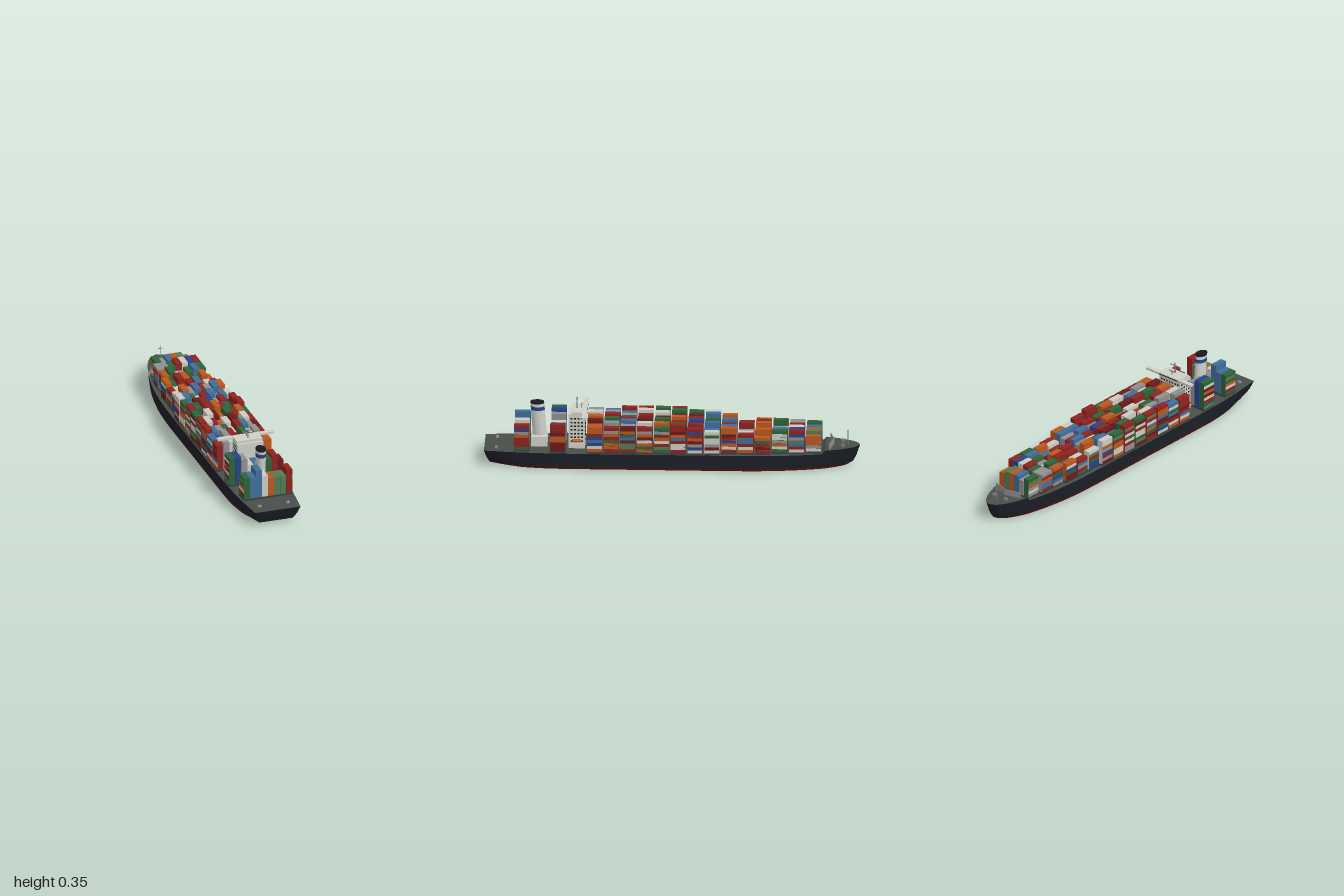
import * as THREE from 'three';

const COLORS = {
  R: 0x8e2320, D: 0x6a1a1a, O: 0xb9581f, B: 0x3f6d99, N: 0x26438a,
  G: 0x2d6239, L: 0x527a52, W: 0xcbcbc2, S: 0x8f8f8f,
  hull: 0x1b1e26, bottom: 0x5c1613, deck: 0x4a4e4a, hatch: 0x3c403e,
  white: 0xcfcfc8, dark: 0x17191c, metal: 0x77797a,
};
const materials = {};
const mat = (c) => (materials[c] ??= new THREE.MeshStandardMaterial({ color: COLORS[c] }));
const unitBox = new THREE.BoxGeometry(1, 1, 1);

function add(parent, name, geometry, color, x = 0, y = 0, z = 0) {
  const m = new THREE.Mesh(geometry, mat(color));
  m.name = name;
  m.position.set(x, y, z);
  parent.add(m);
  return m;
}
// box given by its centre in x and z, and its bottom and top in y
function box(parent, name, color, x, z, y0, y1, w, d) {
  const m = add(parent, name, unitBox, color, x, (y0 + y1) / 2, z);
  m.scale.set(w, y1 - y0, d);
  return m;
}
function seeded(seed) {
  let s = seed;
  return () => (s = (s * 16807) % 2147483647) / 2147483647;
}
// flat-shaded strips between pairs of polylines
function loft(pairs) {
  const p = [];
  for (const [a, b] of pairs) {
    for (let i = 0; i < a.length - 1; i++) {
      p.push(...a[i], ...a[i + 1], ...b[i], ...b[i], ...a[i + 1], ...b[i + 1]);
    }
  }
  const g = new THREE.BufferGeometry();
  g.setAttribute('position', new THREE.Float32BufferAttribute(p, 3));
  g.computeVertexNormals();
  return g;
}

const DECK = 0.088, FORE = 0.106;

function buildHull(ship) {
  // half-breadth of the deck outline, stern to bow
  const outline = new THREE.CatmullRomCurve3(
    [[0.127, 1], [0.139, 0.9], [0.149, 0.8], [0.157, 0.65], [0.159, 0.5], [0.159, 0], [0.159, -0.35],
      [0.154, -0.5], [0.146, -0.6], [0.133, -0.7], [0.113, -0.8], [0.083, -0.9], [0.058, -0.95],
      [0.036, -0.98], [0, -1]].map(([x, z]) => new THREE.Vector3(x, 0, z)),
  ).getPoints(84);
  // levels: height, stern end, bow end, breadth factor midships, at stern, at bow
  const levels = [
    [0, 0.93, -0.94, 0.965, 0.62, 0.72],
    [0.014, 0.97, -0.963, 1, 0.74, 0.8],
    [0.045, 0.985, -0.98, 1, 0.88, 0.9],
    [DECK, 1, -1, 1, 1, 1],
  ];
  const line = (k, side) => outline.map(({ x, z }) => {
    const [y, stern, bow, mid, fs, fb] = levels[k];
    const ts = Math.max(0, (z - 0.6) / 0.4) ** 2, tb = Math.max(0, (-z - 0.4) / 0.6) ** 2;
    const f = mid + (fs - mid) * ts + (fb - mid) * tb;
    let zz = z;
    if (z > 0.8) zz = 0.8 + (z - 0.8) * (stern - 0.8) / 0.2;
    if (z < -0.8) zz = -0.8 + (z + 0.8) * (-bow - 0.8) / 0.2;
    return [side * x * f, k === 3 && z < -0.81 ? FORE : y, zz];
  });
  const L = levels.map((_, k) => line(k, 1)), M = levels.map((_, k) => line(k, -1));
  const sides = (k) => [[L[k], L[k + 1]], [M[k + 1], M[k]]];
  const transom = (ks) => [ks.map((k) => L[k][0]), ks.map((k) => M[k][0])];
  add(ship, 'hullBottom', loft([...sides(0), [M[0], L[0]], transom([0, 1])]), 'bottom');
  add(ship, 'hullSides', loft([...sides(1), ...sides(2), transom([1, 2, 3])]), 'hull');
  add(ship, 'deck', loft([[L[3], M[3]]]), 'deck');
}

function buildCargo(ship) {
  const rand = seeded(4711), pitch = 0.034, tier = 0.0172, base = 0.098;
  const palette = 'RDOBNGLWSROW';
  // bay: z centre, tallest stack in tiers, stack colours from right to left
  const bays = [
    [-0.755, 6, 'GSBOLO'], [-0.665, 7, 'SSGRWNR'], [-0.575, 7, 'OGWSGBG'],
    [-0.485, 7, 'OGRODBOO'], [-0.395, 7, 'RWRRSRWR'], [-0.305, 8, 'WOSBRSBO'],
    [-0.215, 8, 'WBGWRBSBW'], [-0.125, 8, 'GBDRNSRDR'], [-0.035, 9, 'RGDRORGDR'],
    [0.053, 9, 'GOWDOGROG'], [0.143, 9, 'RWROWDGWR'], [0.233, 9, 'RBSGWRBSD'],
    [0.32, 9, 'BNSRDGWSR'], [0.41, 9, 'RSWBORDOO'],
    [0.607, 9, 'GNSWBSGRD', [9, 9, 8, 6, 6, 6, 7, 8, 6]],
    [0.8, 9, 'GBBWOLLR', [7, 7, 9, 7, 6, 6, 6, 8]],
  ];
  for (const [z, top, colors, heights] of bays) {
    const bay = new THREE.Group();
    bay.name = 'containerBay';
    ship.add(bay);
    const n = colors.length;
    box(bay, 'hatchCover', 'hatch', 0, z, DECK - 0.004, base, n * pitch, 0.084);
    [...colors].forEach((c, i) => {
      const x = (i - (n - 1) / 2) * pitch;
      const tiers = heights ? heights[i] : top - Math.floor(rand() * 2.6);
      box(bay, 'containerStack', c, x, z, base, base + tiers * tier, pitch - 0.0006, 0.08);
      // tier colours on the outboard faces
      if (i > 0 && i < n - 1) return;
      const side = Math.sign(x);
      for (let t = 0; t < tiers; t++) {
        const color = t === tiers - 1 ? c : palette[Math.floor(rand() * palette.length)];
        box(bay, 'outerContainer', color, x + side * pitch / 2, z,
          base + t * tier, base + (t + 1) * tier - 0.0008, 0.001, 0.079);
      }
    });
  }
}

function buildBridge(ship) {
  const bridge = new THREE.Group();
  bridge.name = 'deckhouse';
  ship.add(bridge);
  const z = 0.507;
  box(bridge, 'accommodation', 'white', 0, z, DECK, 0.278, 0.145, 0.086);
  box(bridge, 'wheelhouse', 'white', 0, 0.495, 0.278, 0.292, 0.145, 0.08);
  box(bridge, 'bridgeWing', 'white', 0, 0.465, 0.28, 0.291, 0.314, 0.026);
  box(bridge, 'bridgeWindows', 'dark', 0, 0.4515, 0.283, 0.288, 0.13, 0.001);
  // window rows on the sides and the face towards the bow
  for (let r = 0; r < 7; r++) {
    const y = 0.125 + r * 0.021;
    for (const s of [-1, 1]) {
      for (let c = 0; c < 4; c++) {
        box(bridge, 'window', 'dark', s * 0.073, z + (c - 1.5) * 0.019, y, y + 0.008, 0.001, 0.01);
      }
    }
    for (let c = 0; c < 7; c++) {
      box(bridge, 'window', 'dark', (c - 3) * 0.019, z - 0.0435, y, y + 0.008, 0.01, 0.001);
    }
  }
  for (const s of [-1, 1]) {
    const boat = add(bridge, 'lifeboat', new THREE.CapsuleGeometry(0.01, 0.034, 4, 10), 'O', s * 0.085, 0.135, z);
    boat.rotation.x = Math.PI / 2;
    box(bridge, 'lifeboatShelf', 'white', s * 0.084, z, 0.12, 0.124, 0.024, 0.05);
  }
  // radar mast
  add(bridge, 'mast', new THREE.CylinderGeometry(0.0025, 0.0035, 0.062, 8), 'metal', 0, 0.322, 0.508);
  box(bridge, 'radarBar', 'metal', 0, 0.508, 0.333, 0.336, 0.066, 0.005);
  box(bridge, 'radarBar', 'metal', 0, 0.483, 0.31, 0.313, 0.04, 0.005);
  add(bridge, 'radarPost', new THREE.CylinderGeometry(0.002, 0.002, 0.02, 8), 'metal', 0, 0.301, 0.483);
}

function buildFunnel(ship) {
  const funnel = new THREE.Group();
  funnel.name = 'funnel';
  ship.add(funnel);
  box(funnel, 'funnelCasing', 'white', 0, 0.708, DECK, 0.142, 0.102, 0.086);
  // oval stack raked aft, in coloured sections
  const sections = [[0.14, 0.28, 'white', 0], [0.28, 0.3, 'N', 0.0006], [0.3, 0.317, 'white', 0], [0.317, 0.327, 'dark', 0.0006]];
  for (const [y0, y1, color, grow] of sections) {
    const radius = (y) => 0.0275 - (y - 0.14) * 0.008 + grow;
    const g = new THREE.CylinderGeometry(radius(y1), radius(y0), y1 - y0, 24);
    g.scale(1, 1, 1.38);
    g.translate(0, (y0 + y1) / 2, 0);
    g.applyMatrix4(new THREE.Matrix4().set(1, 0, 0, 0, 0, 1, 0, 0, 0, 0.075, 1, 0.696, 0, 0, 0, 1));
    add(funnel, 'funnelSection', g, color);
  }
  for (const s of [-1, 1]) {
    add(funnel, 'exhaustPipe', new THREE.CylinderGeometry(0.006, 0.006, 0.006, 10), 'dark', 0, 0.328, 0.72 + s * 0.013);
  }
}

function buildDeckGear(ship) {
  for (const s of [-1, 1]) {
    // breakwater halves meet in a point towards the bow
    const wall = box(ship, 'breakwater', 'S', s * 0.044, -0.85, FORE, 0.138, 0.09, 0.004);
    wall.rotation.y = -s * 0.24;
    box(ship, 'windlass', 'metal', s * 0.04, -0.91, FORE, 0.12, 0.016, 0.02);
    box(ship, 'sternWinch', 'S', s * 0.08, 0.935, DECK, 0.097, 0.018, 0.014);
  }
  add(ship, 'foremast', new THREE.CylinderGeometry(0.002, 0.003, 0.08, 8), 'metal', 0, FORE + 0.04, -0.935);
  box(ship, 'foremastBar', 'metal', 0, -0.935, 0.168, 0.171, 0.024, 0.003);
}

export function createModel() {
  const ship = new THREE.Group();
  ship.name = 'containerShip';
  buildHull(ship);
  buildCargo(ship);
  buildBridge(ship);
  buildFunnel(ship);
  buildDeckGear(ship);
  return ship;
}
